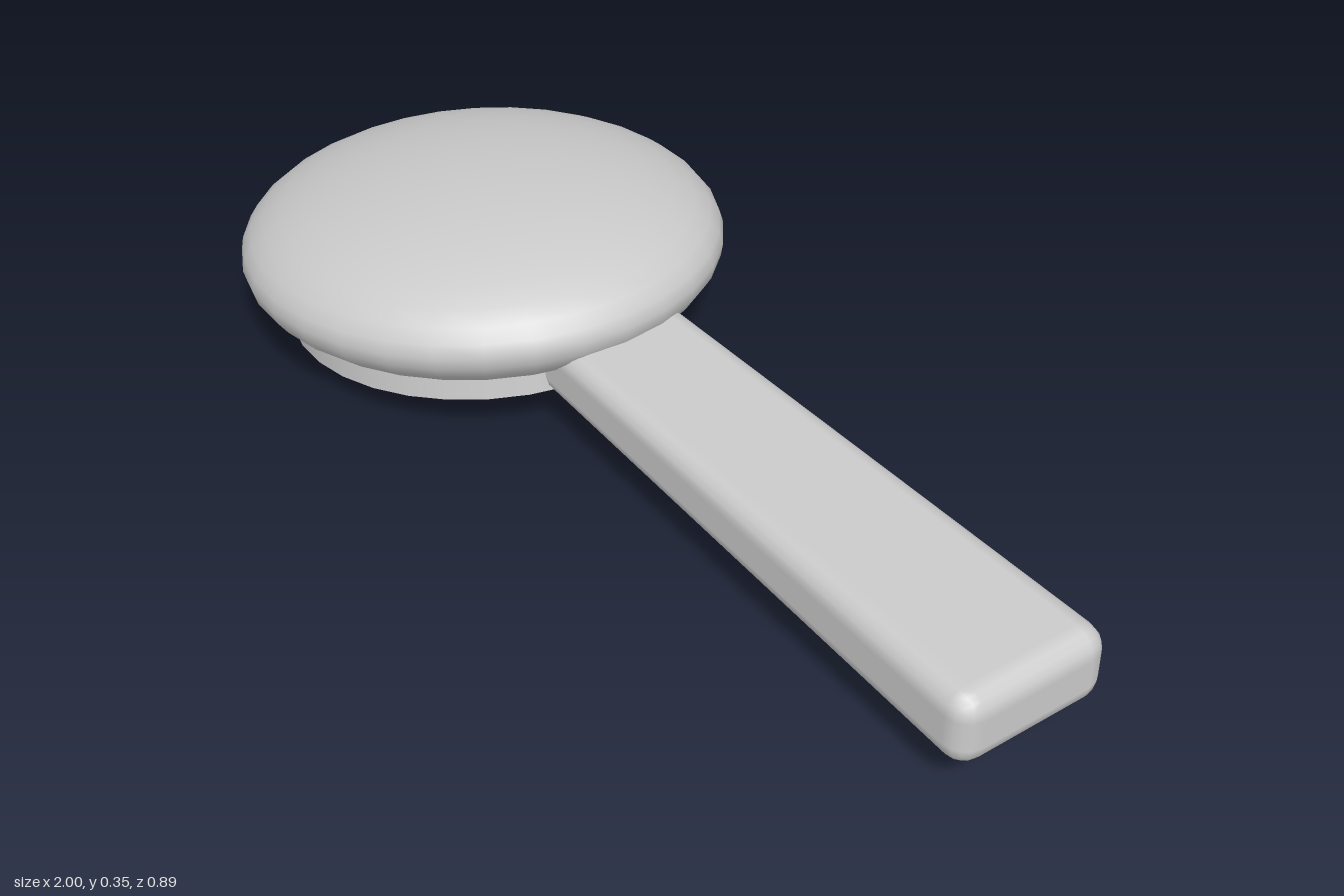
import * as THREE from 'three';
import { RoundedBoxGeometry } from 'three/addons/geometries/RoundedBoxGeometry.js';

const material = new THREE.MeshStandardMaterial({ color: 0xcccccc });

function part(name, geometry) {
  const mesh = new THREE.Mesh(geometry, material);
  mesh.name = name;
  return mesh;
}

// Rounded bar that grows from its inner end (-x) to its outer end (+x)
function taperedBar(length, height, width, radius, innerScaleY, innerScaleZ) {
  const geometry = new RoundedBoxGeometry(length, height, width, 2, radius);
  const p = geometry.attributes.position;
  for (let i = 0; i < p.count; i++) {
    const t = p.getX(i) / length + 0.5;
    p.setY(i, p.getY(i) * THREE.MathUtils.lerp(innerScaleY, 1, t));
    p.setZ(i, p.getZ(i) * THREE.MathUtils.lerp(innerScaleZ, 1, t));
  }
  return geometry;
}

export function createModel() {
  const model = new THREE.Group();
  model.name = 'paddle';

  // Tilted head: flattened dome with a flat disc around its underside
  const head = new THREE.Group();
  head.name = 'head';
  head.position.set(-0.52, 0.188, 0);
  head.rotation.set(-0.011, 0, THREE.MathUtils.degToRad(7.5));

  const dome = new THREE.SphereGeometry(1, 32, 20);
  dome.scale(0.484, 0.157, 0.447);
  head.add(part('dome', dome));

  const disc = new THREE.CylinderGeometry(1, 1, 0.09, 32);
  disc.scale(0.393, 1, 0.373);
  disc.translate(0, -0.087, 0);
  head.add(part('baseDisc', disc));
  model.add(head);

  // Handle, its inner end buried in the head
  const handle = part('handle', taperedBar(1.24, 0.146, 0.308, 0.045, 0.8, 0.83));
  handle.position.set(0.38, 0.158, -0.018);
  model.add(handle);

  return model;
}
